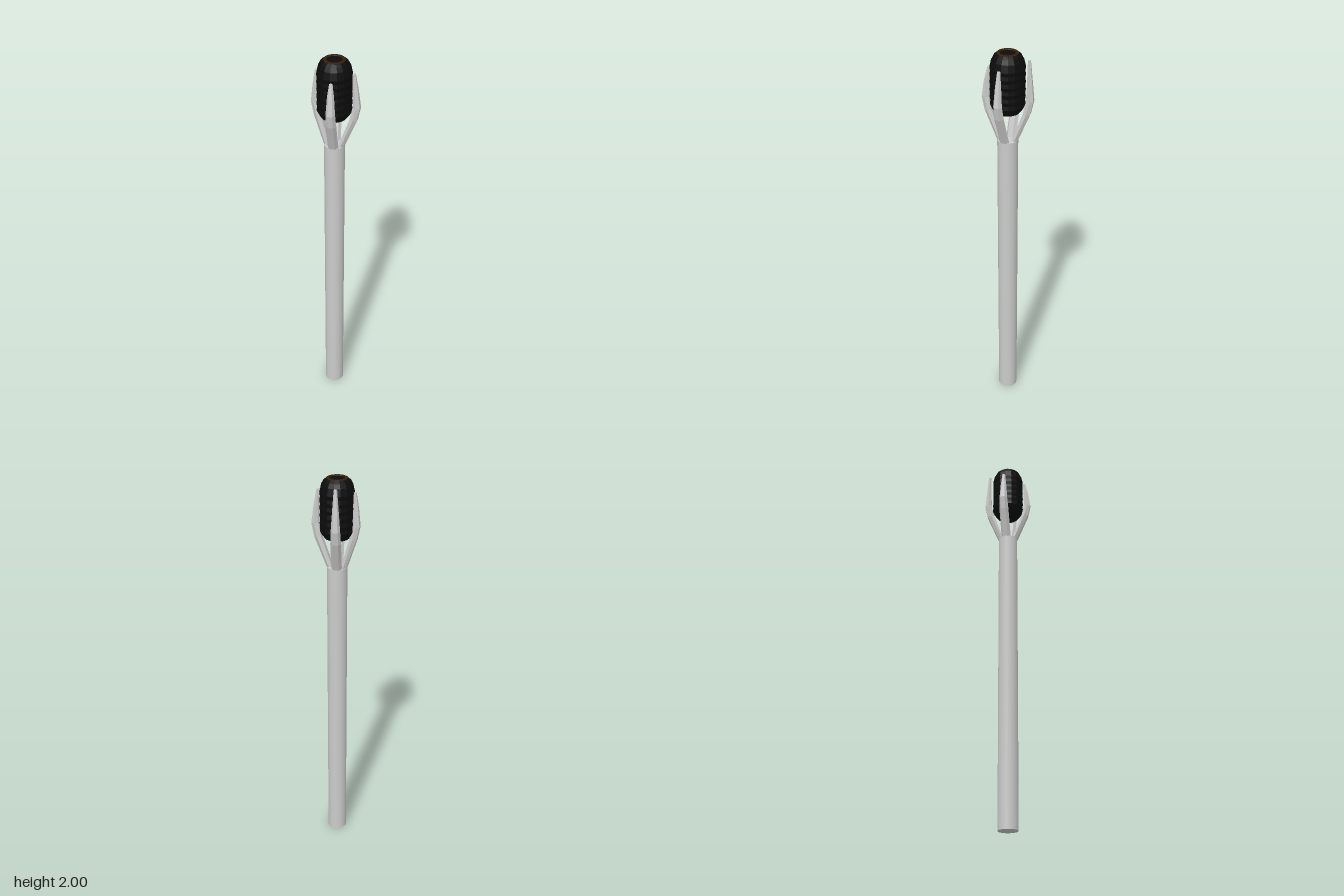
import * as THREE from 'three';

const SIDES = 16;

function add(parent, name, geometry, color = 0xcccccc, flatShading = true) {
  const material = new THREE.MeshStandardMaterial({ color, flatShading });
  const mesh = new THREE.Mesh(geometry, material);
  mesh.name = name;
  parent.add(mesh);
  return mesh;
}

// Tapered, bent prong: each station is [reach, y, half thickness, half width]
function prongGeometry(stations) {
  const rows = stations.length - 1;
  const g = new THREE.CylinderGeometry(1, 1, 1, 6, rows);
  const p = g.attributes.position;
  for (let i = 0; i < p.count; i++) {
    const [reach, y, thick, wide] = stations[Math.round((p.getY(i) + 0.5) * rows)];
    p.setXYZ(i, reach + p.getX(i) * thick, y, p.getZ(i) * wide);
  }
  g.computeVertexNormals();
  return g;
}

const lathe = (points) =>
  new THREE.LatheGeometry(points.map(([r, y]) => new THREE.Vector2(r, y)), SIDES);

export function createModel() {
  const model = new THREE.Group();
  model.name = 'staff';

  const axis = new THREE.Group();
  axis.name = 'axis';
  axis.position.set(-0.004, 0, 0.002);
  model.add(axis);

  // Long round shaft
  const shaft = new THREE.CylinderGeometry(0.05, 0.05, 1.565, SIDES);
  shaft.translate(0, 1.565 / 2, 0);
  add(axis, 'shaft', shaft, 0xcccccc, false);

  // Dark core with shallow ridges, held between the prongs
  const profile = [[0, 1.71], [0.058, 1.71], [0.073, 1.73]];
  for (let i = 0; i <= 10; i++) profile.push([i % 2 ? 0.08 : 0.083, 1.75 + i * 0.018]);
  profile.push([0.075, 1.965], [0.065, 1.985], [0.052, 1.995], [0.035, 1.995], [0, 1.995]);
  add(axis, 'core', lathe(profile), 0x0c0c0c);

  // Brown ring set into the top of the core
  add(axis, 'topRing', lathe([
    [0.052, 1.99], [0.05, 1.998], [0.044, 2], [0.038, 1.999], [0.035, 1.99],
  ]), 0x3a1f0c);

  // Four prongs, slightly uneven: [angle in degrees, elbow reach, tip reach, tip height]
  const prongs = [
    [-49, 0.106, 0.092, 1.94],
    [52, 0.106, 0.1, 1.97],
    [129, 0.094, 0.086, 1.935],
    [229, 0.106, 0.09, 1.92],
  ];
  for (const [angle, elbow, tip, top] of prongs) {
    const prong = add(axis, 'prong', prongGeometry([
      [0.034, 1.56, 0.016, 0.025],
      [elbow - 0.014, 1.71, 0.02, 0.025],
      [elbow, 1.775, 0.02, 0.022],
      [(elbow + tip) / 2 + 0.001, 1.86, 0.014, 0.016],
      [tip, top, 0.007, 0.008],
    ]));
    prong.rotation.y = THREE.MathUtils.degToRad(angle);
  }

  return model;
}
